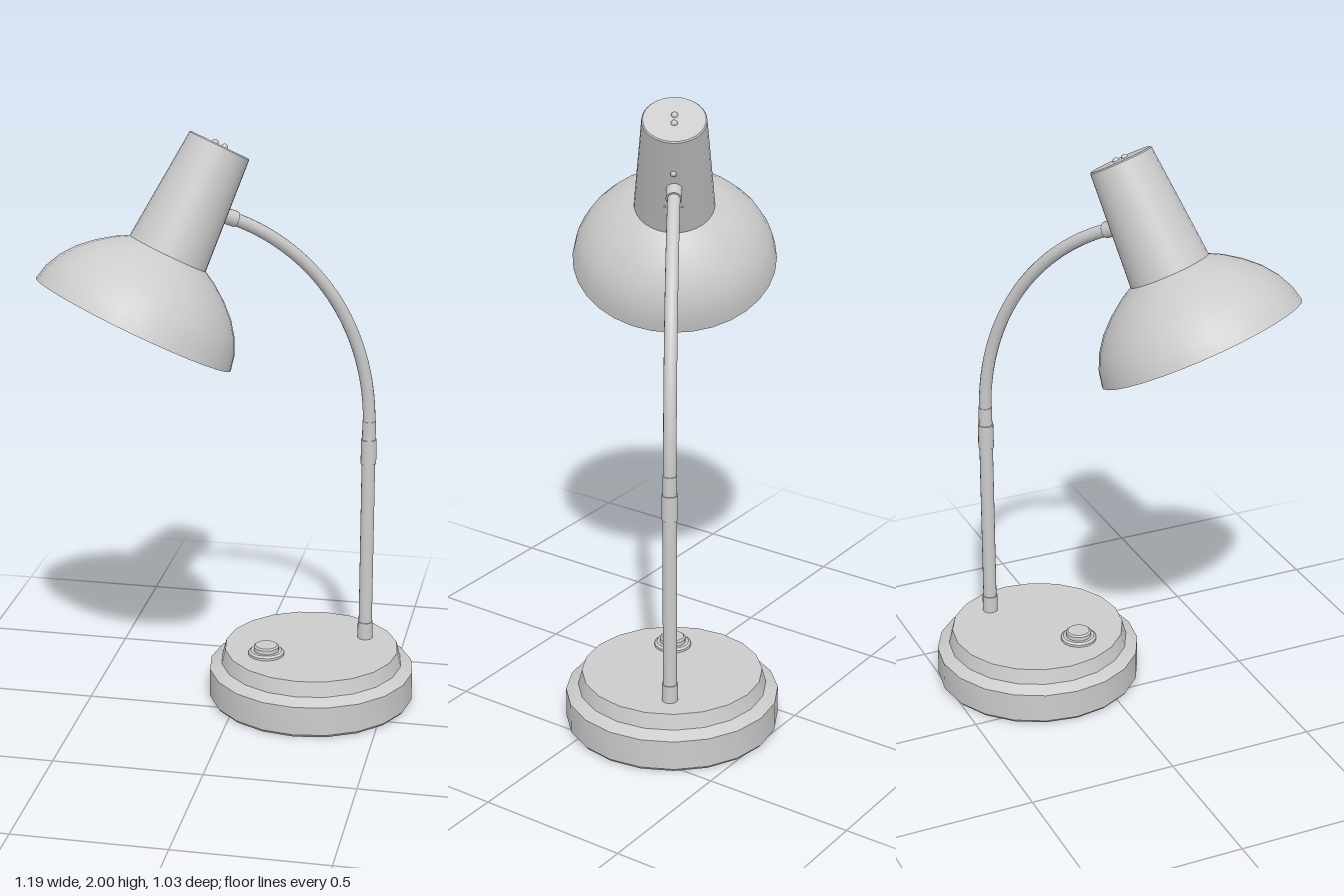
import * as THREE from 'three';
import { toCreasedNormals } from 'three/addons/utils/BufferGeometryUtils.js';

const material = new THREE.MeshStandardMaterial({ color: 0xcccccc });

function part(parent, name, geometry, x = 0, y = 0, z = 0) {
  const mesh = new THREE.Mesh(geometry, material);
  mesh.name = name;
  mesh.position.set(x, y, z);
  parent.add(mesh);
  return mesh;
}

// Turned part from [radius, height] pairs, listed from the bottom up
function turned(profile, sides) {
  const points = profile.map(([r, y]) => new THREE.Vector2(r, y));
  return toCreasedNormals(new THREE.LatheGeometry(points, sides), 0.5);
}

function rod(radius, from, to, sides = 16) {
  return new THREE.CylinderGeometry(radius, radius, to - from, sides).translate(0, (from + to) / 2, 0);
}

// Curve in a vertical plane: straight up at first, then bending over towards the head
class NeckCurve extends THREE.Curve {
  getPoint(t, target = new THREE.Vector3()) {
    const angle = THREE.MathUtils.degToRad(69) * t;
    const reach = 0.82 * (1 - Math.cos(angle));
    return target.set(0.41 - 0.835 * reach, 0.96 + 0.82 * Math.sin(angle), -0.28 + 0.55 * reach);
  }
}

function createHead() {
  const head = new THREE.Group();
  head.name = 'head';

  // Local y runs up the shade axis, local x points to the neck
  const axis = new THREE.Vector3(0.245, 0.553, -0.169).normalize();
  const side = new THREE.Vector3(0.835, 0, -0.55).cross(axis).normalize();
  const toNeck = axis.clone().cross(side);
  head.quaternion.setFromRotationMatrix(new THREE.Matrix4().makeBasis(toNeck, axis, side));
  head.position.set(-0.285, 1.4, 0.185);

  // Domed shade with a thin wall
  const dome = [[0.342, 0], [0.331, 0.05], [0.307, 0.1], [0.272, 0.147], [0.226, 0.19], [0.175, 0.227], [0.133, 0.25]];
  const inner = dome.map(([r, y]) => [r - 0.007, Math.max(0, y - 0.007)]).reverse();
  part(head, 'shade', turned([[0, 0.243], ...inner, ...dome], 32));

  // Tapered lamp housing with two screws in its cap
  part(head, 'housing', turned([[0.133, 0.25], [0.104, 0.624], [0.1, 0.628], [0, 0.628]], 32));
  for (const x of [-0.018, 0.018]) {
    part(head, 'capScrew', new THREE.SphereGeometry(0.011, 12, 8), x, 0.628, 0);
  }

  // Bulb and socket
  part(head, 'bulb', new THREE.SphereGeometry(0.115, 24, 16), 0, 0.1, 0);
  part(head, 'socket', rod(0.06, 0.17, 0.245, 20));

  // Screws above and below the neck joint, and a row of small rivets
  for (const y of [0.39, 0.5]) {
    part(head, 'jointScrew', new THREE.SphereGeometry(0.01, 10, 8), 0.133 - (y - 0.25) * 0.077, y, 0);
  }
  for (let i = -2; i <= 2; i++) {
    const z = i * 0.014;
    part(head, 'rivet', new THREE.SphereGeometry(0.004, 6, 4), Math.sqrt(0.124 ** 2 - z * z), 0.36, z);
  }
  return head;
}

export function createModel() {
  const lamp = new THREE.Group();
  lamp.name = 'deskLamp';

  // Stepped base
  part(lamp, 'base', turned([
    [0, 0], [0.342, 0], [0.35, 0.01], [0.35, 0.11], [0.31, 0.13], [0.297, 0.18], [0, 0.18],
  ], 20), 0.24, 0, -0.17);

  // Push switch
  part(lamp, 'switch', turned([
    [0.061, 0], [0.061, 0.008], [0.053, 0.014], [0.043, 0.014], [0.043, 0.028], [0.037, 0.033], [0, 0.033],
  ], 20), 0.1, 0.18, -0.075);

  // Upright pole with its collars
  part(lamp, 'pole', rod(0.023, 0.18, 0.97), 0.41, 0, -0.28);
  part(lamp, 'lowerCollar', rod(0.026, 0.18, 0.24), 0.41, 0, -0.28);
  part(lamp, 'upperCollar', rod(0.0265, 0.82, 0.905), 0.41, 0, -0.28);

  // Bent neck and the socket ring where it enters the head
  const curve = new NeckCurve();
  part(lamp, 'neck', new THREE.TubeGeometry(curve, 32, 0.021, 14));
  const joint = part(lamp, 'neckJoint', new THREE.CylinderGeometry(0.026, 0.026, 0.05, 16));
  joint.position.copy(curve.getPoint(0.98));
  joint.quaternion.setFromUnitVectors(new THREE.Vector3(0, 1, 0), curve.getTangent(0.98));

  lamp.add(createHead());
  return lamp;
}
